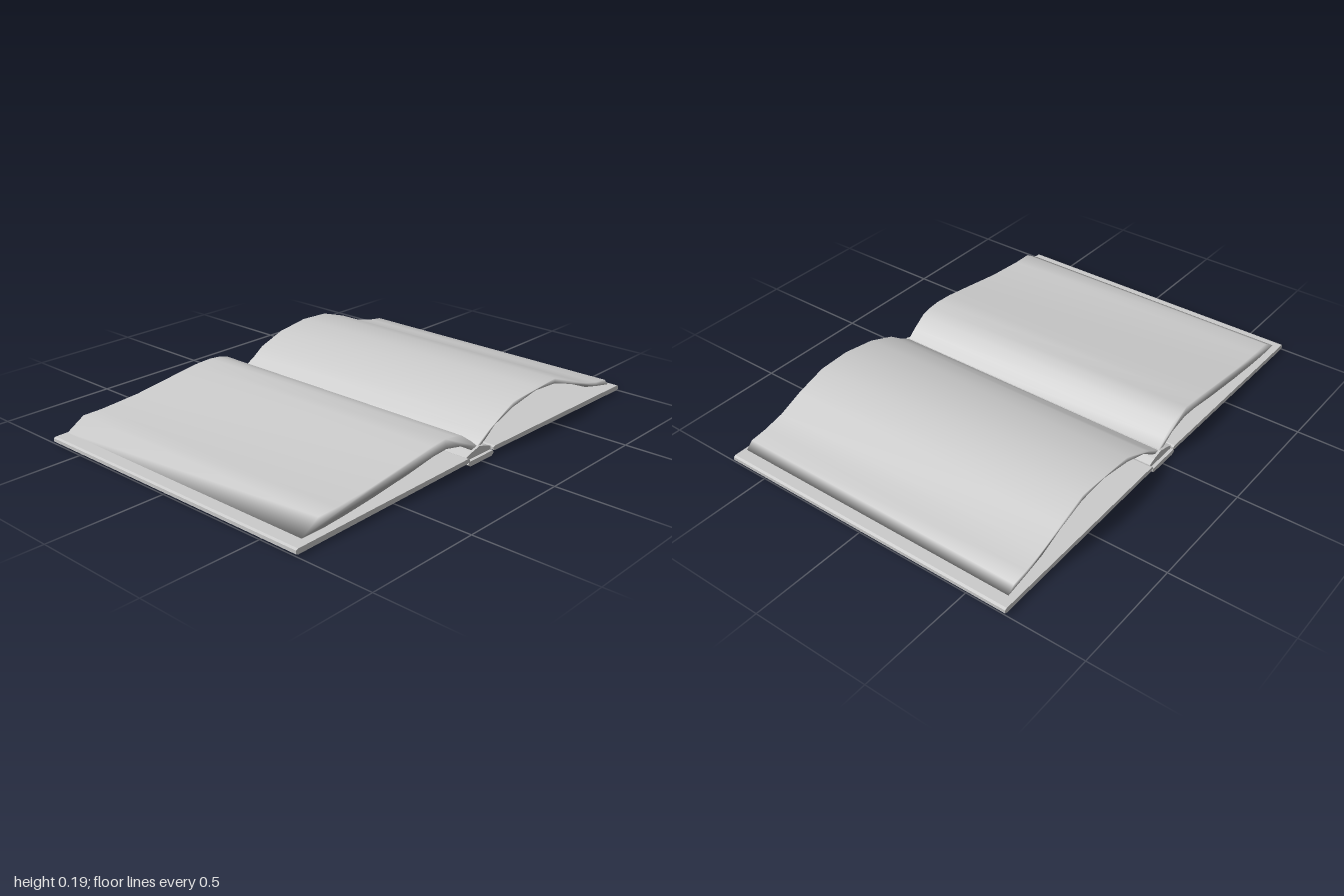
import * as THREE from 'three';
import { mergeVertices } from 'three/addons/utils/BufferGeometryUtils.js';

const material = new THREE.MeshStandardMaterial({ color: 0xcccccc, side: THREE.DoubleSide });

// Outline in x/y, extruded symmetrically along z; smooth shares normals across edges
function extruded(name, points, length, smooth = false) {
  const shape = new THREE.Shape(points.map(([x, y]) => new THREE.Vector2(x, y)));
  let geometry = new THREE.ExtrudeGeometry(shape, { depth: length, bevelEnabled: false });
  geometry.translate(0, 0, -length / 2);
  if (smooth) {
    geometry.deleteAttribute('uv');
    geometry.deleteAttribute('normal');
    geometry = mergeVertices(geometry, 1e-4);
    geometry.computeVertexNormals();
  }
  const mesh = new THREE.Mesh(geometry, material);
  mesh.name = name;
  return mesh;
}

export function createModel() {
  const book = new THREE.Group();
  book.name = 'openBook';

  // Cover boards, rising slightly towards the spine, with chamfered outer edges
  for (const side of [-1, 1]) {
    const outline = [
      [0.085, 0.017], [0.99, 0.004], [1, 0.008], [1, 0.022],
      [0.99, 0.026], [0.085, 0.036], [0.075, 0.032], [0.075, 0.021],
    ].map(([x, y]) => [x * side, y]);
    extruded(side > 0 ? 'leftCover' : 'rightCover', outline, 1.342);
    book.add(extruded(side > 0 ? 'leftCover' : 'rightCover', outline, 1.342));
  }

  // Spine board underneath
  book.add(extruded('spineBoard', [
    [-0.07, 0], [0.065, 0], [0.078, 0.01], [0.072, 0.021], [-0.077, 0.021], [-0.083, 0.01],
  ], 1.342));

  // Raised binding strip between the boards
  book.add(extruded('binding', [
    [-0.085, 0.02], [0.08, 0.02], [0.075, 0.034], [0.045, 0.046],
    [0, 0.057], [-0.045, 0.046], [-0.08, 0.034],
  ], 1.315));

  // Page blocks: upper profile from gutter to fore edge, then back along the underside
  const rightTop = [[0, 0.055], [-0.04, 0.088], [-0.1, 0.13], [-0.15, 0.143], [-0.2, 0.148],
    [-0.28, 0.144], [-0.4, 0.128], [-0.6, 0.1], [-0.78, 0.087], [-0.87, 0.086], [-0.95, 0.037]];
  const rightUnder = [[-0.85, 0.036], [-0.74, 0.043], [-0.6, 0.056], [-0.4, 0.08],
    [-0.27, 0.1], [-0.19, 0.105], [-0.1, 0.086], [-0.03, 0.046], [0, 0.04]];
  book.add(extruded('rightPages', [...rightTop, ...rightUnder], 1.294, true));

  const leftTop = [[0, 0.055], [0.06, 0.09], [0.11, 0.125], [0.23, 0.168], [0.38, 0.19], [0.52, 0.184],
    [0.65, 0.143], [0.76, 0.096], [0.85, 0.075], [0.92, 0.066], [0.95, 0.037]];
  const leftUnder = [[0.85, 0.057], [0.76, 0.078], [0.65, 0.123], [0.52, 0.163],
    [0.38, 0.172], [0.23, 0.147], [0.11, 0.108], [0.05, 0.065], [0, 0.04]];
  book.add(extruded('leftPages', [...leftTop, ...leftUnder], 1.294, true));

  return book;
}
